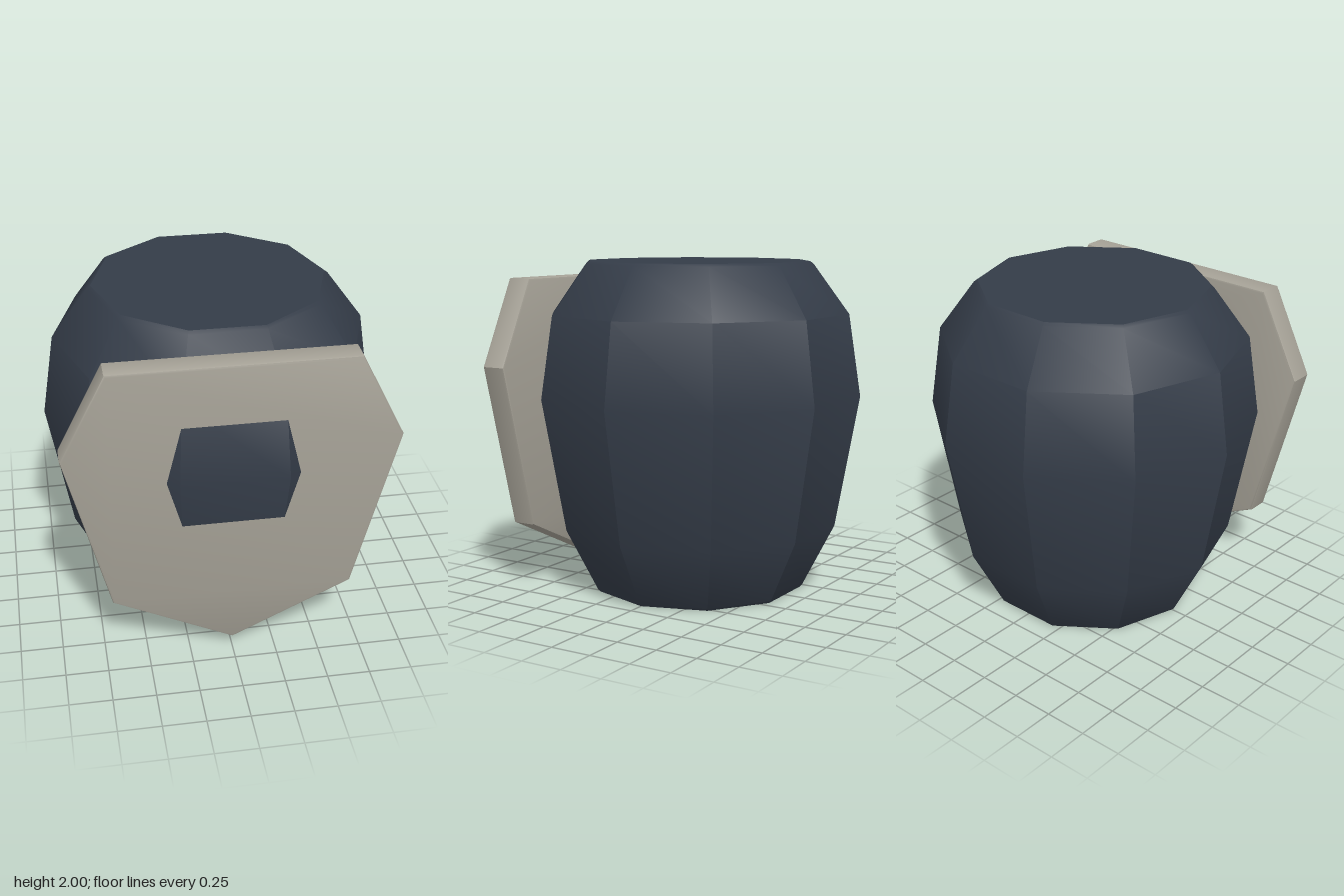
import * as THREE from 'three';
import { toCreasedNormals } from 'three/addons/utils/BufferGeometryUtils.js';

export function createModel() {
  const group = new THREE.Group();
  const slate = new THREE.MeshStandardMaterial({ color: 0x343c48 });
  slate.name = 'dark slate';
  const stone = new THREE.MeshStandardMaterial({ color: 0xa5a196 });
  stone.name = 'warm stone';

  // Ten-sided barrel with softly bevelled rims and a flat side to the front
  const profile = [
    [0, 0], [0.645, 0], [0.66, 0.015], [0.855, 0.4], [0.996, 1.2],
    [0.922, 1.69], [0.705, 1.985], [0.685, 2], [0, 2],
  ].map(([r, y]) => new THREE.Vector2(r, y));
  const barrel = new THREE.LatheGeometry(profile, 10, Math.PI / 10);
  const body = new THREE.Mesh(toCreasedNormals(barrel, 0.56), slate);
  body.name = 'body';
  group.add(body);

  // Seven-cornered shield plate; the bulge of the body pokes through its front
  const bevel = 0.014;
  const outline = [
    [-0.685, 1.886], [-0.937, 1.388], [-0.687, 0.418], [0, 0.086],
    [0.687, 0.418], [0.937, 1.388], [0.685, 1.886],
  ].map(([x, y]) => new THREE.Vector2(x, y));
  const plate = new THREE.ExtrudeGeometry(new THREE.Shape(outline), {
    depth: 0.152 - 2 * bevel, bevelEnabled: true,
    bevelSize: bevel, bevelThickness: bevel, bevelSegments: 2,
  });
  const shield = new THREE.Mesh(toCreasedNormals(plate, 0.6), stone);
  shield.name = 'shieldPlate';
  shield.position.z = 0.746 + bevel;
  group.add(shield);

  return group;
}
